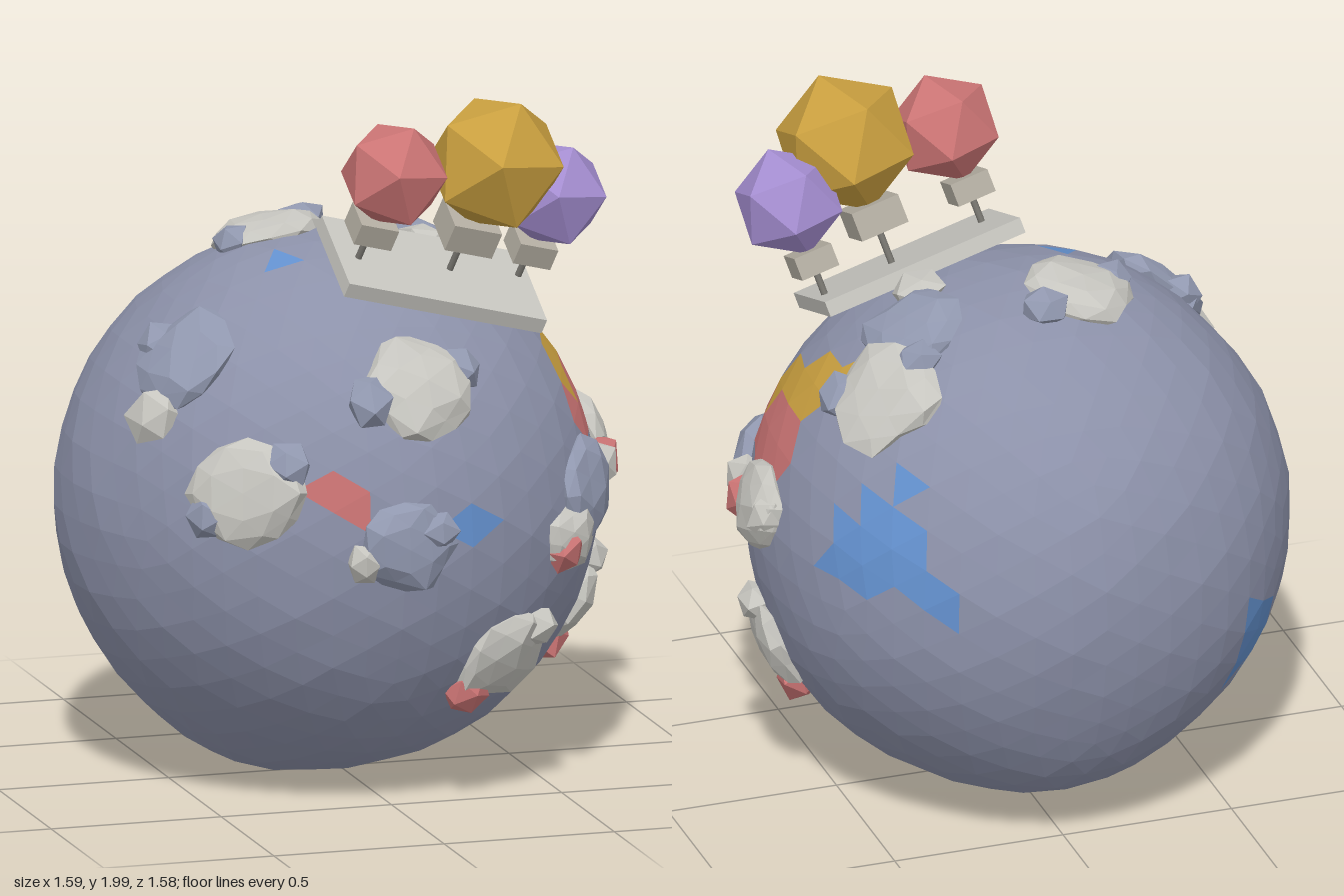
import * as THREE from 'three';

const mat = (name, color) => {
  const m = new THREE.MeshStandardMaterial({ color });
  m.name = name;
  return m;
};

const CENTER = new THREE.Vector3(-0.03, 0.78, -0.03);
const RADIUS = 0.765;

// Point on the globe from two coordinates, seen along the axis 'x', 'y' or 'z'
function onGlobe(axis, a, b) {
  const p = new THREE.Vector3();
  const [u, v] = { x: ['z', 'y'], y: ['x', 'z'], z: ['x', 'y'] }[axis];
  p[u] = a - CENTER[u];
  p[v] = b - CENTER[v];
  p[axis] = Math.sqrt(Math.max(0.002, RADIUS ** 2 - p[u] ** 2 - p[v] ** 2));
  return p.normalize();
}

function inside(poly, a, b) {
  let hit = false;
  for (let i = 0, j = poly.length - 1; i < poly.length; j = i++) {
    const [ax, ay] = poly[i], [bx, by] = poly[j];
    if ((ay > b) !== (by > b) && a < ((bx - ax) * (b - ay)) / (by - ay) + ax) hit = !hit;
  }
  return hit;
}

// Coloured surface patches: material index, axis, side, outline
const PATCHES = [
  [1, 'x', 1, [[0.33, 1.08], [0.33, 1.17], [0.15, 1.25], [0.05, 1.33], [-0.12, 1.36], [-0.12, 1.26], [0, 1.22], [0, 1.18], [0.2, 1.15], [0.23, 1.09]]],
  [2, 'x', 1, [[0.33, 1.08], [0.23, 1.09], [0.2, 1.15], [0, 1.18], [-0.04, 1.13], [-0.08, 1.02], [-0.08, 0.94], [0.25, 0.94], [0.33, 1.03]]],
  [3, 'x', 1, [[-0.32, 0.88], [-0.42, 1.15], [-0.5, 1.19], [-0.55, 1.05], [-0.62, 1.0], [-0.69, 0.78], [-0.62, 0.84], [-0.55, 0.87]]],
  [2, 'z', 1, [[-0.3, 0.88], [-0.25, 0.99], [-0.14, 0.99], [-0.09, 0.93], [-0.12, 0.88]]],
  [3, 'z', 1, [[0.1, 0.78], [0.15, 0.88], [0.27, 0.88], [0.22, 0.78]]],
  [3, 'y', 1, [[-0.26, 0.01], [-0.17, 0], [-0.16, 0.18], [-0.24, 0.16]]],
  [3, 'z', -1, [[-0.65, 0.42], [-0.47, 0.4], [-0.5, 0.7], [-0.58, 0.72]]],
  [3, 'y', -1, [[0.2, -0.32], [0.07, -0.19], [-0.06, -0.33], [0.07, -0.46]]],
];

function patchAt(p) {
  for (const [index, axis, side, poly] of PATCHES) {
    if ((p[axis] - CENTER[axis]) * side < 0) continue;
    const a = axis === 'x' ? p.z : p.x;
    const b = axis === 'y' ? p.z : p.y;
    if (inside(poly, a, b)) return index;
  }
  return 0;
}

// Faceted globe with gentle dents, faces sorted into colour groups
function globeGeometry() {
  const geo = new THREE.IcosahedronGeometry(1, 7);
  const pos = geo.attributes.position;
  const bumps = [[new THREE.Vector3(-0.34, -0.94, 0), 0.025], [new THREE.Vector3(0, -0.73, -0.68), 0.025]];
  const d = new THREE.Vector3();
  const faces = [[], [], [], []];
  const points = [];
  for (let i = 0; i < pos.count; i++) {
    d.fromBufferAttribute(pos, i).normalize();
    let r = RADIUS + 0.006 * Math.sin(5 * d.x + 3 * d.y) * Math.cos(6 * d.z)
      + 0.003 * Math.sin(17 * d.x + 2) * Math.sin(15 * d.y + 13 * d.z);
    for (const [dir, h] of bumps) r += h * Math.exp(-10 * d.distanceToSquared(dir));
    const p = d.clone().multiplyScalar(r).add(CENTER);
    p.y = Math.max(0, p.y);
    points.push(p);
  }
  for (let i = 0; i < points.length; i += 3) {
    const tri = points.slice(i, i + 3);
    const mid = new THREE.Vector3().add(tri[0]).add(tri[1]).add(tri[2]).divideScalar(3);
    faces[patchAt(mid)].push(...tri);
  }
  const out = new THREE.BufferGeometry().setFromPoints(faces.flat());
  let start = 0;
  faces.forEach((f, i) => {
    out.addGroup(start, f.length, i);
    start += f.length;
  });
  out.computeVertexNormals();
  return out;
}

// Irregular faceted stone, flattened along z
function stoneGeometry(w, h, depth, seed, detail) {
  const geo = new THREE.IcosahedronGeometry(1, detail);
  const pos = geo.attributes.position;
  for (let i = 0; i < pos.count; i++) {
    const x = pos.getX(i), y = pos.getY(i), z = pos.getZ(i);
    const k = 1 + 0.12 * Math.sin(4 * x + seed) * Math.cos(3 * y - seed * 2) + 0.06 * Math.sin(7 * z + 5 * x + seed * 3);
    pos.setXYZ(i, x * k * w, y * k * h, z * k * depth);
  }
  geo.computeVertexNormals();
  return geo;
}

export function createModel() {
  const body = mat('slate blue', 0x8c91a9);
  const grey = mat('blue grey stone', 0x9097ae);
  const pale = mat('pale stone', 0xc6c5bf);
  const beige = mat('warm grey', 0xb3ada1);
  const dark = mat('dark rod grey', 0x77756f);
  const red = mat('soft red', 0xcb7474);
  const gold = mat('gold', 0xc99f3f);
  const violet = mat('violet', 0xa48dd0);
  const blue = mat('patch blue', 0x6390cd);

  const model = new THREE.Group();
  const add = (parent, name, geo, material, x = 0, y = 0, z = 0) => {
    const m = new THREE.Mesh(geo, material);
    m.name = name;
    m.position.set(x, y, z);
    parent.add(m);
    return m;
  };

  add(model, 'globe', globeGeometry(), [body, gold, red, blue]);

  // Stone clusters: material, axis, two coordinates, half width, half height
  const clusters = [
    [[pale, 'z', 0.06, 1.22, 0.16, 0.16], [grey, 'z', -0.1, 1.19, 0.07, 0.09], [grey, 'z', 0.19, 1.25, 0.06, 0.07]],
    [[pale, 'z', -0.45, 0.95, 0.17, 0.15], [grey, 'z', -0.34, 1.03, 0.07, 0.07], [grey, 'z', -0.54, 0.88, 0.07, 0.07]],
    [[grey, 'z', -0.03, 0.8, 0.14, 0.13], [pale, 'z', -0.15, 0.76, 0.05, 0.06], [grey, 'z', 0.06, 0.84, 0.06, 0.06]],
    [[pale, 'z', 0.31, 0.42, 0.16, 0.15], [pale, 'z', 0.41, 0.5, 0.07, 0.06], [red, 'z', 0.2, 0.33, 0.07, 0.07]],
    [[grey, 'x', 0.39, 0.85, 0.16, 0.15], [pale, 'x', 0.49, 0.74, 0.13, 0.1], [pale, 'x', 0.25, 0.88, 0.05, 0.07], [red, 'z', 0.49, 0.71, 0.06, 0.07]],
    [[pale, 'x', 0.02, 0.91, 0.14, 0.13], [pale, 'x', -0.07, 0.92, 0.06, 0.07], [red, 'x', 0.15, 0.87, 0.06, 0.08]],
    [[pale, 'x', 0.05, 0.46, 0.15, 0.14], [pale, 'x', 0.08, 0.58, 0.07, 0.06], [red, 'x', 0.03, 0.35, 0.09, 0.07]],
    [[pale, 'y', -0.17, -0.15, 0.16, 0.15], [grey, 'y', -0.04, -0.23, 0.07, 0.07], [grey, 'y', -0.28, -0.1, 0.06, 0.07]],
    [[pale, 'y', 0.44, -0.26, 0.17, 0.17], [grey, 'y', 0.31, -0.11, 0.15, 0.15], [grey, 'y', 0.34, -0.24, 0.07, 0.07],
      [grey, 'y', 0.53, -0.13, 0.07, 0.07], [pale, 'y', 0.24, 0.03, 0.08, 0.08]],
    [[grey, 'y', -0.54, 0.26, 0.16, 0.16], [grey, 'y', -0.57, 0.16, 0.07, 0.07], [pale, 'y', -0.63, 0.3, 0.09, 0.09]],
  ];
  const forward = new THREE.Vector3(0, 0, 1);
  clusters.forEach((stones, c) => {
    const group = new THREE.Group();
    group.name = 'stoneCluster' + (c + 1);
    stones.forEach(([material, axis, a, b, w, h], i) => {
      const dir = onGlobe(axis, a, b);
      const big = w > 0.11;
      const geo = stoneGeometry(w, h, big ? 0.06 : 0.055, c * 1.7 + i * 2.3, big ? 1 : 0);
      const stone = add(group, material === red ? 'redStone' : big ? 'stone' : 'smallStone', geo, material);
      stone.quaternion.setFromUnitVectors(forward, dir);
      stone.position.copy(dir).multiplyScalar(RADIUS + (big ? -0.005 : 0.012)).add(CENTER);
    });
    model.add(group);
  });

  // Tilted stand carrying three gems
  const stand = new THREE.Group();
  stand.name = 'gemStand';
  const xAxis = new THREE.Vector3(0.966, -0.252, -0.05).normalize();
  const yAxis = new THREE.Vector3(-0.05, -0.365, 0.93).cross(xAxis).normalize();
  const zAxis = xAxis.clone().cross(yAxis);
  stand.quaternion.setFromRotationMatrix(new THREE.Matrix4().makeBasis(xAxis, yAxis, zAxis));
  stand.position.set(0.19, 1.466, 0.268);
  add(stand, 'plate', new THREE.BoxGeometry(0.61, 0.045, 0.34), pale);
  const gems = [['redGem', red, -0.24, 0.31, 0.02, 0.16, 0.115], ['goldGem', gold, 0.05, 0.39, -0.01, 0.205, 0.145],
    ['violetGem', violet, 0.27, 0.305, -0.045, 0.16, 0.115]];
  for (const [name, material, x, y, z, r, size] of gems) {
    add(stand, 'rod', new THREE.CylinderGeometry(0.01, 0.01, 0.12, 8), dark, x, 0.07, z);
    add(stand, 'gemBlock', new THREE.BoxGeometry(size, size * 0.58, size), beige, x, y - r - 0.02, z);
    const gem = add(stand, name, new THREE.IcosahedronGeometry(r, 0), material, x, y, z);
    gem.rotation.z = Math.atan(2 / (1 + Math.sqrt(5)));
  }
  model.add(stand);
  return model;
}
